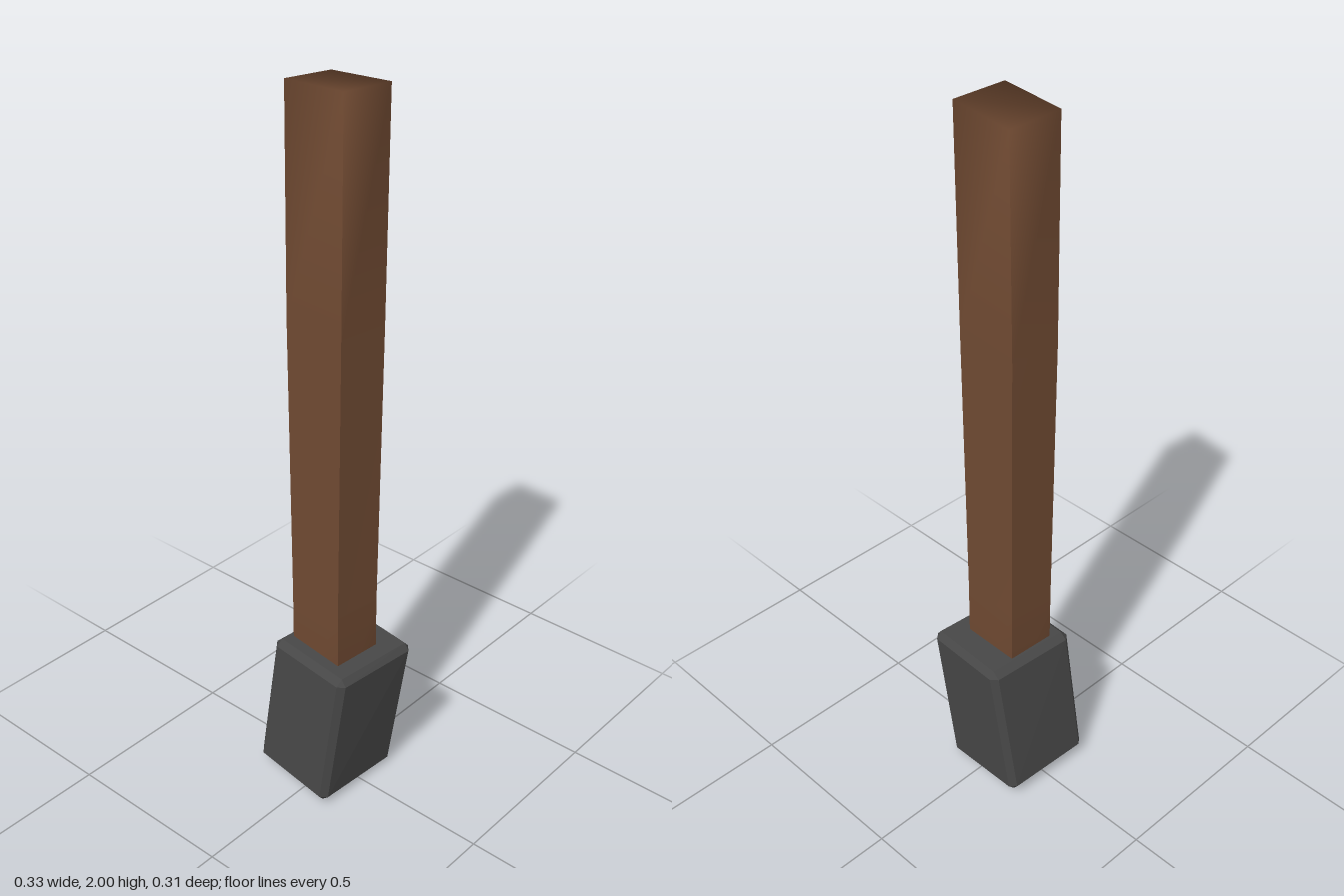
import * as THREE from 'three';
import { ConvexGeometry } from 'three/addons/geometries/ConvexGeometry.js';

const wood = new THREE.MeshStandardMaterial({ color: 0x704a32 });
wood.name = 'brown wood';
const iron = new THREE.MeshStandardMaterial({ color: 0x474747 });
iron.name = 'dark grey';

// Slightly warped four-sided post; each ring runs back left, front left, front right, back right
function postGeometry() {
  const rings = [
    [[-0.080, 0.20, -0.070], [-0.088, 0.20, 0.070], [0.086, 0.20, 0.085], [0.098, 0.20, -0.060]],
    [[-0.080, 0.60, -0.070], [-0.088, 0.60, 0.070], [0.086, 0.60, 0.085], [0.098, 0.60, -0.060]],
    [[-0.086, 1.40, -0.076], [-0.095, 1.40, 0.070], [0.096, 1.40, 0.086], [0.109, 1.40, -0.062]],
    [[-0.080, 1.985, -0.080], [-0.090, 1.993, 0.070], [0.102, 2.0, 0.087], [0.114, 1.995, -0.064]],
  ];
  const top = rings.length - 1;
  const positions = [...rings[top].flat()];
  const index = [1, 2, 3, 1, 3, 0];
  for (let k = 0; k < 4; k++) {
    const n = (k + 1) % 4;
    const start = positions.length / 3;
    // Lower rings are split per side for hard edges; the top ring is shared and smooth
    for (let i = 0; i < top; i++) positions.push(...rings[i][k], ...rings[i][n]);
    for (let i = 0; i < top; i++) {
      const a = start + 2 * i, b = a + 1;
      const c = i + 1 < top ? b + 2 : n;
      const d = i + 1 < top ? a + 2 : k;
      index.push(a, b, c, a, c, d);
    }
    // Underside wedge
    index.push(start + 1, start, positions.length / 3);
    positions.push(0, 0.2, 0);
  }
  const geometry = new THREE.BufferGeometry();
  geometry.setAttribute('position', new THREE.Float32BufferAttribute(positions, 3));
  geometry.setIndex(index);
  // Keep the hidden underside from bending the side normals
  geometry.computeVertexNormals();
  return geometry;
}

// Leaning block with chamfered edges, mapped into eight skewed corners
function blockGeometry() {
  const V = (x, y, z) => new THREE.Vector3(x, y, z);
  const corners = [ // index = x + 2y + 4z
    V(-0.155, 0.022, -0.137), V(0.107, 0, -0.125), V(-0.098, 0.452, -0.16), V(0.17, 0.437, -0.137),
    V(-0.171, 0.03, 0.137), V(0.094, 0.007, 0.158), V(-0.12, 0.455, 0.118), V(0.146, 0.44, 0.138),
  ];
  const warp = (p) => corners.reduce((sum, c, i) => {
    const w = (i & 1 ? p[0] : 1 - p[0]) * (i & 2 ? p[1] : 1 - p[1]) * (i & 4 ? p[2] : 1 - p[2]);
    return sum.addScaledVector(c, w);
  }, V(0, 0, 0));
  const inset = [0.065, 0.042, 0.062];
  const points = [];
  for (let i = 0; i < 8; i++) {
    const bits = [i & 1, (i >> 1) & 1, (i >> 2) & 1];
    for (let face = 0; face < 3; face++) {
      points.push(warp(bits.map((b, axis) => {
        const d = axis === face ? 0 : inset[axis];
        return b ? 1 - d : d;
      })));
    }
  }
  return new ConvexGeometry(points);
}

export function createModel() {
  const model = new THREE.Group();
  model.name = 'post';

  const shaft = new THREE.Mesh(postGeometry(), wood);
  shaft.name = 'woodenShaft';
  model.add(shaft);

  const block = new THREE.Mesh(blockGeometry(), iron);
  block.name = 'baseBlock';
  model.add(block);

  return model;
}
